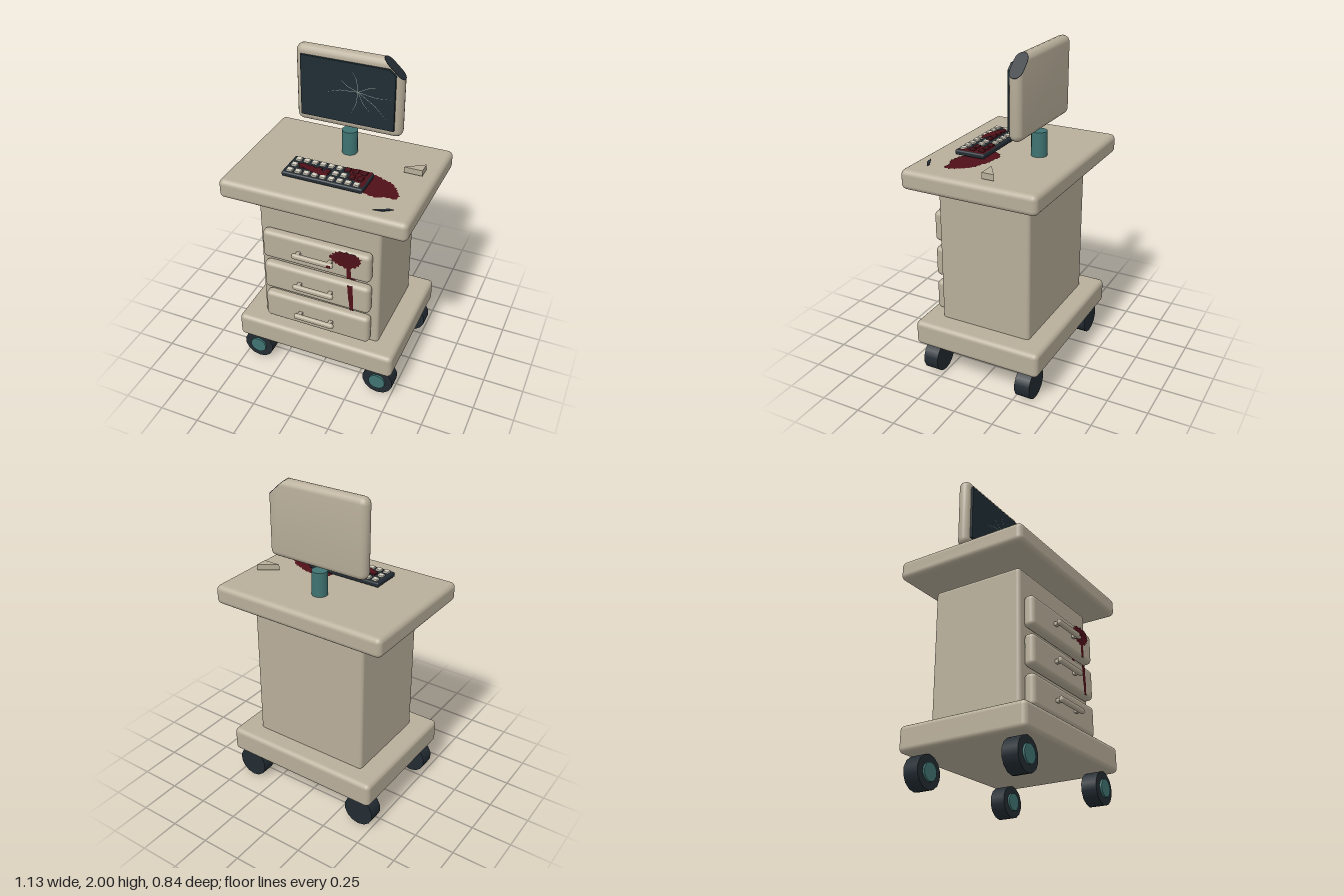
import * as THREE from 'three';
import { RoundedBoxGeometry } from 'three/addons/geometries/RoundedBoxGeometry.js';
import { ConvexGeometry } from 'three/addons/geometries/ConvexGeometry.js';
import { toCreasedNormals } from 'three/addons/utils/BufferGeometryUtils.js';

const mat = (color, side = THREE.FrontSide) => new THREE.MeshStandardMaterial({ color, side });
const beige = mat(0xb8ae9a);
const dark = mat(0x222b32);
const glass = mat(0x1f2d33);
const teal = mat(0x3f7472);
const keyWhite = mat(0xd6d2c2);
const red = mat(0x4f1019, THREE.DoubleSide);
const crackGrey = mat(0x8d9996, THREE.DoubleSide);

function add(parent, name, geometry, material, x = 0, y = 0, z = 0) {
  const mesh = new THREE.Mesh(geometry, material);
  mesh.name = name;
  mesh.position.set(x, y, z);
  parent.add(mesh);
  return mesh;
}

// Rounded box given by its centre and size
const slab = (parent, name, m, [x, y, z], [w, h, d], r) =>
  add(parent, name, new RoundedBoxGeometry(w, h, d, 3, r), m, x, y, z);

const toShape = (pts) => new THREE.Shape(pts.map(([x, y]) => new THREE.Vector2(x, y)));

// Flat patch with a ragged outline
function ragged(pts, amount, steps = 4) {
  const out = [];
  pts.forEach(([x, y], i) => {
    const [nx, ny] = pts[(i + 1) % pts.length];
    const len = Math.hypot(nx - x, ny - y);
    for (let k = 0; k < steps; k++) {
      const t = k / steps;
      const n = amount * Math.sin((i * steps + k) * 2.4);
      out.push([x + (nx - x) * t + ((ny - y) / len) * n, y + (ny - y) * t - ((nx - x) / len) * n]);
    }
  });
  return new THREE.ShapeGeometry(toShape(out));
}

// Outlines in x, z laid flat
const flip = (pts) => pts.map(([x, z]) => [x, -z]);
const flatStain = (parent, name, pts, y, amount) =>
  add(parent, name, ragged(flip(pts), amount).rotateX(-Math.PI / 2), red, 0, y, 0);

function createMonitor() {
  const g = new THREE.Group();
  g.name = 'monitor';
  const W = 0.325, H = 0.235, D = 0.04, R = 0.037;
  // Broken corner follows the line x + y * m = c
  const m = 0.125 / 0.115, c = 0.2 + H * m;
  const body = [], cut = [];
  for (let i = 0; i <= 8; i++) {
    const a = -Math.PI / 2 + (i * Math.PI) / 8;
    const z = D * Math.sin(a);
    const inset = R * (1 - Math.cos(a));
    const w = W - inset, h = H - inset, r = 0.04 * Math.cos(a) + 0.003;
    for (const [sx, sy] of [[-1, 1], [-1, -1], [1, -1]]) {
      for (let k = 0; k <= 4; k++) {
        const b = (k * Math.PI) / 8;
        body.push(new THREE.Vector3(sx * (w - r + r * Math.cos(b)), sy * (h - r + r * Math.sin(b)), z));
      }
    }
    cut.push(new THREE.Vector3(c - h * m, h, z), new THREE.Vector3(w, (c - w) / m, z));
  }
  add(g, 'monitorCase', toCreasedNormals(new ConvexGeometry([...body, ...cut]), 0.6), beige);
  const outward = new THREE.Vector3(1, m, 0).normalize().multiplyScalar(0.003);
  const cap = cut.flatMap((p) => [p.clone(), p.clone().add(outward)]);
  add(g, 'brokenCorner', new ConvexGeometry(cap), dark);

  // Screen with its corner clipped along the break
  const screen = toShape([[-0.285, -0.185], [0.285, -0.185], [0.285, 0.152], [0.248, 0.185], [-0.285, 0.185]]);
  add(g, 'screen', new THREE.ExtrudeGeometry(screen, { depth: 0.025, bevelEnabled: false }), glass, 0, 0, 0.03);

  // Cracks run from the point of impact
  const ends = [[0.265, 0.01], [0.21, 0.07], [0.03, 0.145], [-0.045, 0.085], [-0.13, -0.015], [0.025, -0.12], [0.145, -0.095], [0.24, -0.12]];
  ends.forEach(([ex, ey], i) => {
    const ox = 0.068, oy = 0.02, dx = ex - ox, dy = ey - oy, len = Math.hypot(dx, dy);
    const px = -dy / len, py = dx / len, bend = (i % 2 ? 1 : -1) * 0.012, t = 0.0014;
    const mx = ox + dx * 0.55 + px * bend, my = oy + dy * 0.55 + py * bend;
    const shape = toShape([[ox - px * t, oy - py * t], [mx - px * t, my - py * t], [ex, ey], [mx + px * t, my + py * t], [ox + px * t, oy + py * t]]);
    add(g, 'crack', new THREE.ShapeGeometry(shape), crackGrey, 0, 0, 0.0565);
  });
  g.position.set(0, 1.765, -0.165);
  return g;
}

function createKeyboard() {
  const g = new THREE.Group();
  g.name = 'keyboard';
  slab(g, 'keyboardBase', dark, [0, 1.386, 0.16], [0.49, 0.03, 0.19], 0.01);
  for (let row = 0; row < 3; row++) {
    for (let col = 0; col < 9; col++) {
      const stained = (row === 0 && col >= 6) || (row === 1 && (col >= 7 || (col >= 1 && col <= 4)));
      slab(g, 'key', stained ? red : keyWhite, [-0.205 + col * 0.0505, 1.403, 0.1 + row * 0.061], [0.034, 0.018, 0.034], 0.003);
    }
  }
  flatStain(g, 'keyboardStain', [[0.08, 0.07], [0.238, 0.07], [0.238, 0.235], [0.19, 0.205], [0.15, 0.165]], 1.4025, 0.003);
  flatStain(g, 'keyboardSmear', [[-0.19, 0.16], [-0.16, 0.14], [-0.06, 0.165], [0.0, 0.18], [0.03, 0.205], [-0.02, 0.222], [-0.1, 0.205]], 1.4128, 0.003);
  return g;
}

export function createModel() {
  const model = new THREE.Group();
  model.name = 'computerCart';

  // Cart body
  slab(model, 'base', beige, [0, 0.277, 0], [1.02, 0.158, 0.82], 0.03);
  slab(model, 'cabinet', beige, [0, 0.77, 0], [0.76, 0.86, 0.585], 0.022);
  slab(model, 'tabletop', beige, [0, 1.3, 0], [1.13, 0.12, 0.842], 0.032);

  // Wheels with a hub on the front side
  for (const x of [-0.41, 0.41]) {
    for (const z of [-0.312, 0.312]) {
      const wheel = new THREE.Group();
      wheel.name = 'wheel';
      add(wheel, 'tyre', new THREE.CylinderGeometry(0.098, 0.098, 0.095, 14).rotateX(Math.PI / 2), dark);
      add(wheel, 'hub', new THREE.CylinderGeometry(0.053, 0.053, 0.03, 14).rotateX(Math.PI / 2), teal, 0, 0, 0.045);
      wheel.position.set(x, 0.098, z);
      model.add(wheel);
    }
  }

  // Drawers
  [0.935, 0.703, 0.472].forEach((y) => {
    const drawer = new THREE.Group();
    drawer.name = 'drawer';
    slab(drawer, 'drawerFront', beige, [0, 0, 0.322], [0.68, 0.192, 0.068], 0.028);
    slab(drawer, 'handleBar', beige, [0, 0, 0.392], [0.26, 0.034, 0.028], 0.013);
    for (const x of [-0.1, 0.1]) {
      add(drawer, 'handlePost', new THREE.BoxGeometry(0.024, 0.022, 0.04), beige, x, 0, 0.37);
    }
    drawer.position.y = y;
    model.add(drawer);
  });

  // Drawer stains
  const splat = [[0.09, 0.975], [0.115, 0.945], [0.15, 0.93], [0.2, 0.915], [0.25, 0.935], [0.28, 0.965], [0.288, 1.0], [0.265, 1.025], [0.2, 1.03], [0.14, 1.022], [0.115, 1.0]];
  add(model, 'drawerSplat', ragged(splat, 0.006), red, 0, 0, 0.3575);
  add(model, 'upperDrip', ragged([[0.2, 0.845], [0.228, 0.845], [0.226, 0.93], [0.2, 0.93]], 0.002), red, 0, 0, 0.3575);
  add(model, 'gapDrip', ragged([[0.203, 0.79], [0.232, 0.79], [0.228, 0.85], [0.2, 0.85]], 0.001), red, 0, 0, 0.2945);
  add(model, 'lowerDrip', ragged([[0.22, 0.612], [0.245, 0.612], [0.238, 0.795], [0.203, 0.795]], 0.002), red, 0, 0, 0.3575);
  add(model, 'handleStain', ragged([[0.09, 0.928], [0.12, 0.928], [0.12, 0.946], [0.1, 0.946]], 0.001), red, 0, 0, 0.4068);

  // Screen on its stand
  add(model, 'monitorStand', new THREE.CylinderGeometry(0.047, 0.047, 0.155, 16), teal, 0, 1.431, -0.163);
  model.add(createMonitor());

  // Items on the tabletop
  model.add(createKeyboard());
  flatStain(model, 'puddle', [
    [0.08, 0.075], [0.1, 0.04], [0.15, 0.012], [0.2, 0.025], [0.25, 0.03], [0.305, 0.055], [0.35, 0.07], [0.39, 0.11],
    [0.41, 0.14], [0.435, 0.18], [0.425, 0.22], [0.37, 0.215], [0.32, 0.24], [0.275, 0.235], [0.22, 0.215], [0.15, 0.17],
  ], 1.363, 0.005);
  const lay = (pts, depth) =>
    new THREE.ExtrudeGeometry(toShape(flip(pts)), { depth, bevelEnabled: false }).rotateX(-Math.PI / 2);
  add(model, 'caseFragment', lay([[0.375, -0.058], [0.485, -0.058], [0.485, -0.132]], 0.036), beige, 0, 1.367, 0);
  add(model, 'glassShard', lay([[0.345, 0.352], [0.4, 0.345], [0.447, 0.312], [0.425, 0.31]], 0.004), dark, 0, 1.36, 0);

  return model;
}
